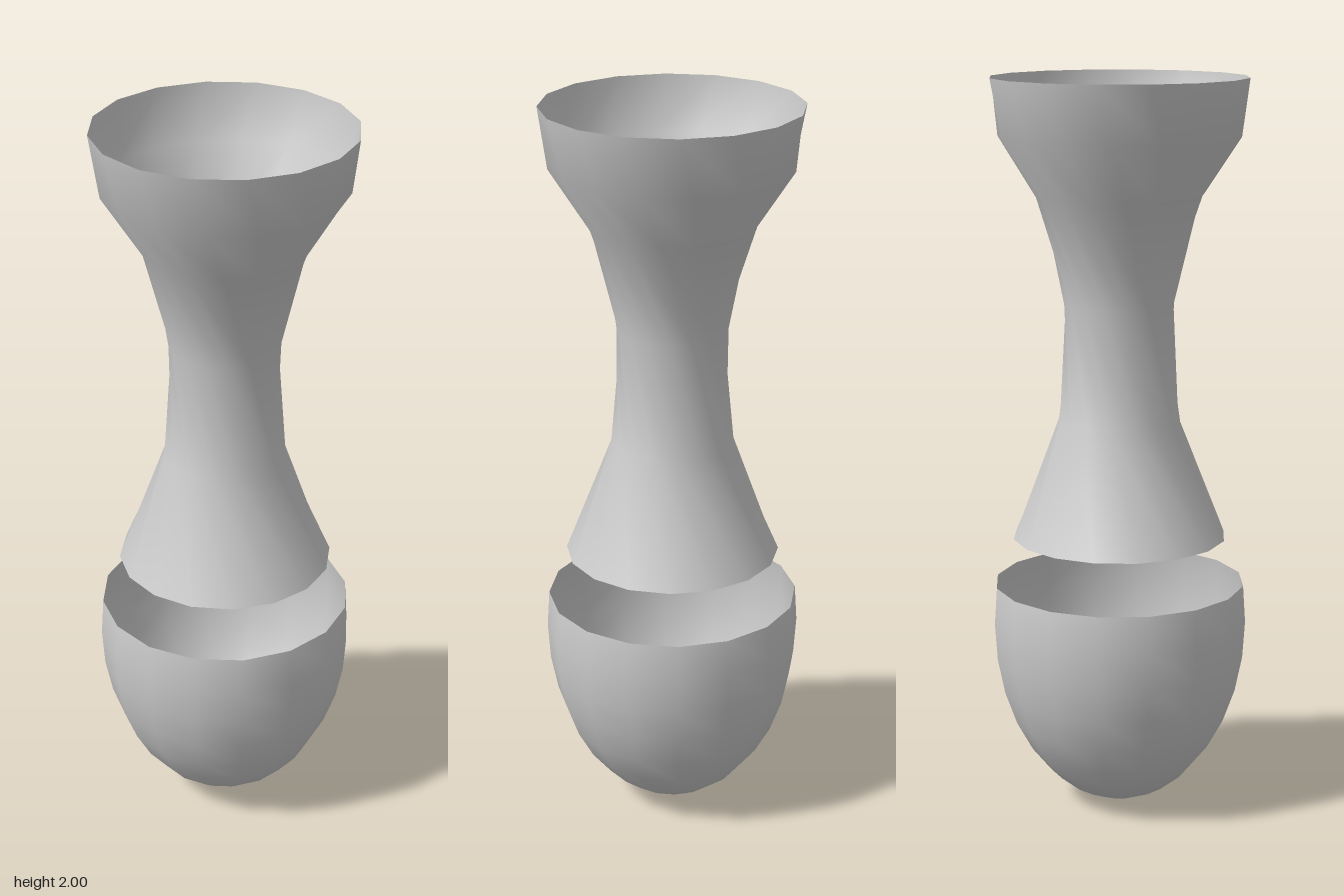
import * as THREE from 'three';

const SIDES = 16;
const material = new THREE.MeshStandardMaterial({ color: 0xcccccc, side: THREE.DoubleSide });

// Open tube from rings [radius, y, twist in degrees], listed top to bottom
function twistedTube(rings) {
  const positions = [], indices = [];
  rings.forEach(([r, y, twist], i) => {
    for (let j = 0; j < SIDES; j++) {
      const a = THREE.MathUtils.degToRad(twist) + (j / SIDES) * Math.PI * 2;
      positions.push(r * Math.cos(a), y, -r * Math.sin(a));
      if (i === rings.length - 1) continue;
      const k = (j + 1) % SIDES;
      const t0 = i * SIDES + j, t1 = i * SIDES + k;
      const b0 = t0 + SIDES, b1 = t1 + SIDES;
      // diagonal follows the twist
      indices.push(t0, b0, b1, t0, b1, t1);
    }
  });
  const geometry = new THREE.BufferGeometry();
  geometry.setAttribute('position', new THREE.Float32BufferAttribute(positions, 3));
  geometry.setIndex(indices);
  geometry.computeVertexNormals();
  return geometry;
}

export function createModel() {
  const model = new THREE.Group();

  // Flared cup, twisted waist and open bell, one continuous shell
  const stem = new THREE.Mesh(twistedTube([
    [0.345, 2.0, 0],
    [0.323, 1.845, 6],
    [0.221, 1.685, 13],
    [0.149, 1.4, 40],
    [0.166, 1.08, 69],
    [0.292, 0.757, 86],
  ]), material);
  stem.name = 'twistedStem';
  model.add(stem);

  // Egg-shaped bowl, open at its rim, floating just below the bell
  const start = Math.PI * 7 / 16;
  const bowlGeometry = new THREE.SphereGeometry(1, SIDES, 9, 0, Math.PI * 2, start, Math.PI - start);
  bowlGeometry.scale(0.35, 0.524, 0.35).translate(0, 0.524, 0);
  const bowl = new THREE.Mesh(bowlGeometry, material);
  bowl.name = 'bowl';
  model.add(bowl);

  return model;
}
